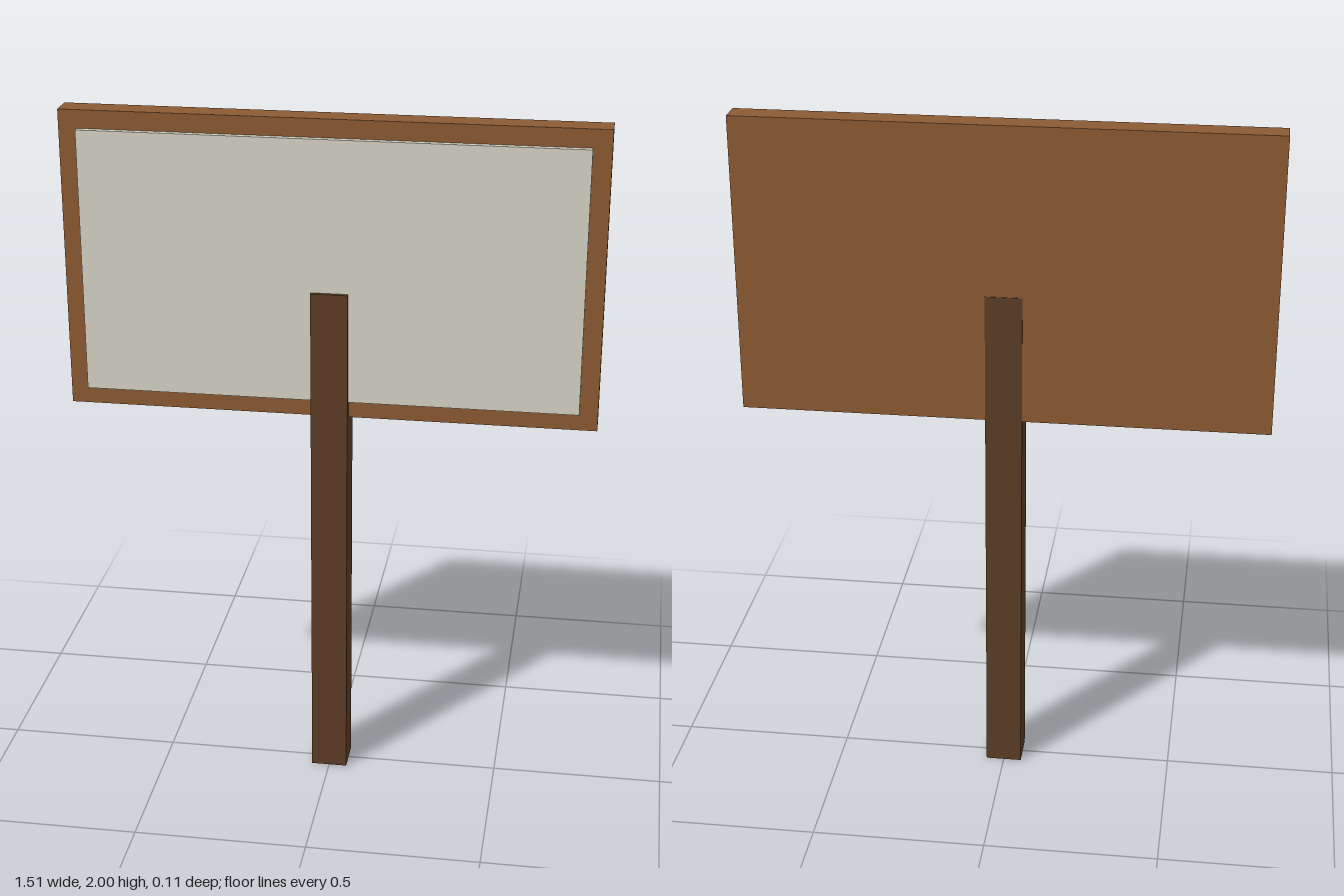
import * as THREE from 'three';

export function createModel() {
  const group = new THREE.Group();

  // Box given by its size, bottom height and back/front depth
  const addBox = (name, color, width, y0, y1, z0, z1) => {
    const mesh = new THREE.Mesh(
      new THREE.BoxGeometry(width, y1 - y0, z1 - z0),
      new THREE.MeshStandardMaterial({ color })
    );
    mesh.position.set(0, (y0 + y1) / 2, (z0 + z1) / 2);
    mesh.name = name;
    group.add(mesh);
  };

  // Square post, running up through the board
  addBox('post', 0x5c3d24, 0.105, 0, 1.513, -0.053, 0.053);
  // Wooden backing board
  addBox('board', 0x8b5a33, 1.51, 1.14, 2, -0.051, 0.024);
  // Pale face panel, inset from the board's edge
  addBox('facePanel', 0xd4d1c4, 1.406, 1.192, 1.948, 0.02, 0.042);

  return group;
}
